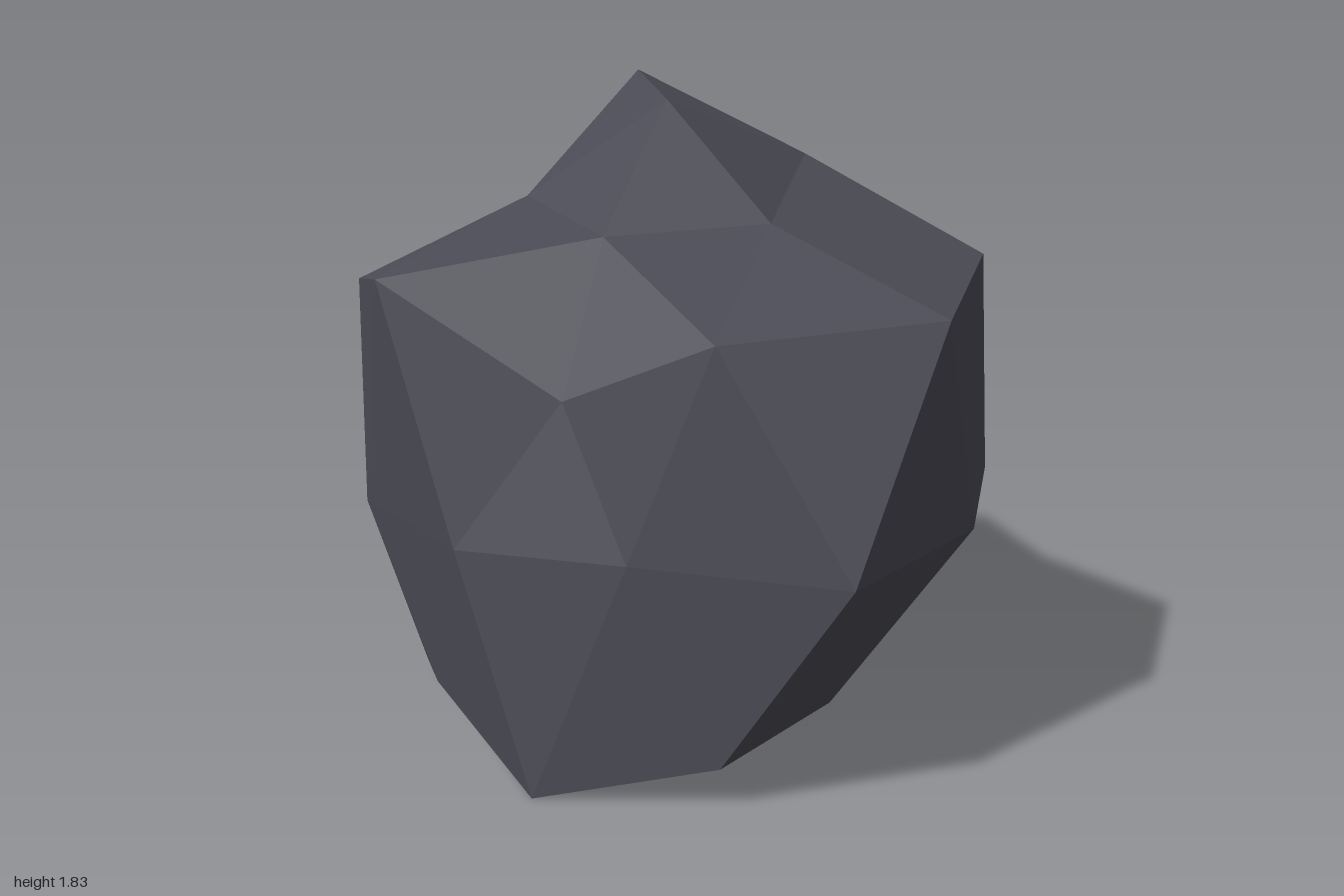
import * as THREE from 'three';

// Faceted boulder: a once-subdivided icosphere, each ring pushed in or out, cut flat underneath.
const CENTRE = new THREE.Vector3(0, 0.645, 0.12);
const STRETCH_Y = 1.29;

// One ring of points: sphere radius and height, first azimuth in degrees, push factor per point.
function ring(radius, height, start, factors) {
  return factors.map((f, i) => {
    const a = THREE.MathUtils.degToRad(start + (360 / factors.length) * i);
    return new THREE.Vector3(
      CENTRE.x + Math.cos(a) * radius * f,
      Math.max(0, CENTRE.y + height * STRETCH_Y * f),
      CENTRE.z + Math.sin(a) * radius * f
    );
  });
}

function boulderGeometry() {
  // Rings from the crown down to the base
  const [top] = ring(0, 1, 0, [0.88]);
  const crown = ring(0.526, 0.851, 0, [0.75, 0.727, 0.78, 1.08, 0.875]);
  const upper = ring(0.894, 0.447, 0, [1.115, 0.69, 1.04, 0.8, 0.78]);
  const upperMid = ring(0.851, 0.526, 36, [0.86, 1.025, 0.875, 1.08, 1.055]);
  const waist = ring(1, 0, 18, [1.01, 0.72, 0.81, 0.885, 1.0515, 1.05, 0.985, 1.07, 0.99, 0.94]);
  const lowerMid = ring(0.851, -0.526, 0, [0.744, 0.957, 0.9, 0.965, 0.71]);
  const lower = ring(0.894, -0.447, 36, [0.912, 0.832, 0.93, 0.945, 0.71]);
  const foot = ring(0.526, -0.851, 36, [0.97, 0.9, 0.9, 0.78, 0.96]);
  const [bottom] = ring(0, -1, 0, [1]);

  // Each large triangle becomes four facets through its edge points
  const points = [];
  const split = (a, b, c, ab, bc, ca) =>
    points.push(a, ab, ca, ab, b, bc, ca, bc, c, ab, bc, ca);

  for (let k = 0; k < 5; k++) {
    const n = (k + 1) % 5;
    const w0 = waist[2 * k], w1 = waist[2 * k + 1], w2 = waist[2 * n];
    split(top, upper[n], upper[k], crown[n], upperMid[k], crown[k]);
    split(upper[k], upper[n], lower[k], upperMid[k], w1, w0);
    split(upper[n], lower[n], lower[k], w2, lowerMid[n], w1);
    split(lower[k], lower[n], bottom, lowerMid[n], foot[n], foot[k]);
  }

  const geometry = new THREE.BufferGeometry().setFromPoints(points);
  geometry.computeVertexNormals();
  return geometry;
}

export function createModel() {
  const stone = new THREE.MeshStandardMaterial({ color: 0x4a4a54 });
  stone.name = 'darkStone';
  stone.flatShading = true;

  const boulder = new THREE.Mesh(boulderGeometry(), stone);
  boulder.name = 'boulder';

  const group = new THREE.Group();
  group.name = 'rock';
  group.add(boulder);
  return group;
}
